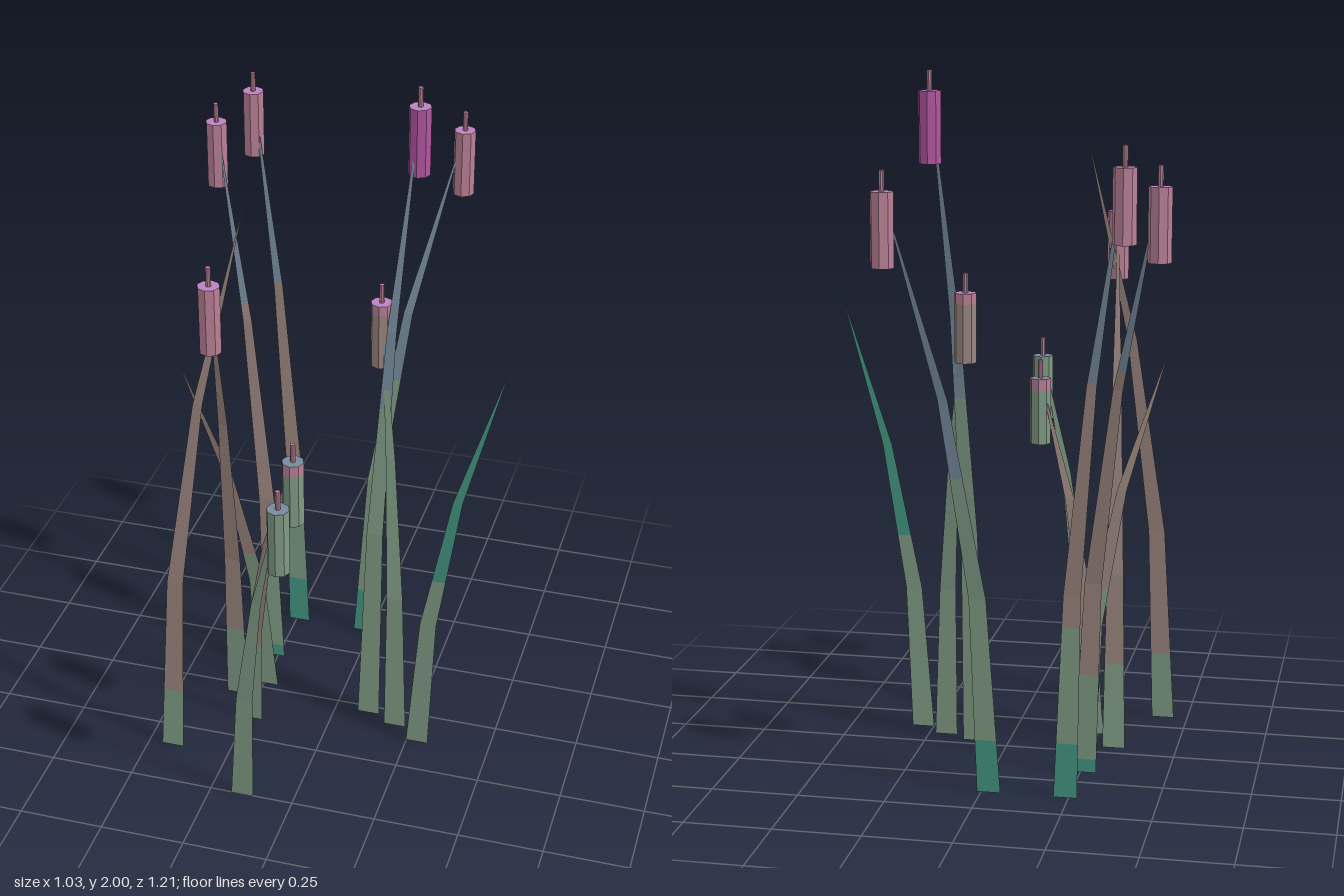
import * as THREE from 'three';

const mat = (name, color, side = THREE.FrontSide) => {
  const m = new THREE.MeshStandardMaterial({ color, side, flatShading: true });
  m.name = name;
  return m;
};

export function createModel() {
  const D = THREE.DoubleSide;
  const green = mat('reed green', 0x7f9a84, D);
  const brown = mat('dry brown', 0x99847d, D);
  const teal = mat('wet teal', 0x439581, D);
  const blue = mat('grey blue', 0x778b9d, D);
  const pink = mat('dusty pink', 0xb98096);
  const magenta = mat('magenta', 0xb0559f);
  const purple = mat('cap purple', 0xbb82c2);

  // Blade outline: three straight segments, bending as t squared, tapering to a point
  const widths = [0.067, 0.049, 0.028, 0.001];
  function section(b, t) {
    const i = Math.min(2, Math.floor(t * 3 + 1e-6));
    const f = t * 3 - i;
    const mix = (p, q) => p + (q - p) * f;
    const bend = mix((i / 3) ** 2, ((i + 1) / 3) ** 2);
    return {
      x: b.base[0] + (b.tip[0] - b.base[0]) * bend,
      y: b.height * t,
      z: b.base[1] + (b.tip[1] - b.base[1]) * bend,
      w: mix(widths[i], widths[i + 1]) / 2,
    };
  }

  // One colour band of a blade, between two heights
  function bladeBand(b, y0, y1, material) {
    const t0 = y0 / b.height, t1 = y1 / b.height;
    const ts = [t0, ...[1 / 3, 2 / 3].filter(t => t > t0 + 1e-4 && t < t1 - 1e-4), t1];
    const pos = [], idx = [];
    ts.forEach((t, i) => {
      const s = section(b, t);
      pos.push(s.x - s.w, s.y, s.z, s.x + s.w, s.y, s.z);
      if (i) {
        const k = i * 2;
        idx.push(k - 2, k - 1, k + 1, k - 2, k + 1, k);
      }
    });
    const g = new THREE.BufferGeometry();
    g.setAttribute('position', new THREE.Float32BufferAttribute(pos, 3));
    g.setIndex(idx);
    g.computeVertexNormals();
    const mesh = new THREE.Mesh(g, material);
    mesh.name = 'bladeBand';
    return mesh;
  }

  // Seed head hanging from the tip, with a thin spike; the rim is an optional band at its top
  const HEAD = 0.2, R = 0.032;
  function seedHead(b) {
    const { side, cap, rim = 0 } = b.head;
    const group = new THREE.Group();
    group.name = 'seedHead';
    const add = (name, r, y0, y1, mats) => {
      const m = new THREE.Mesh(new THREE.CylinderGeometry(r, r, y1 - y0, 8), mats);
      m.position.y = (y0 + y1) / 2;
      m.name = name;
      group.add(m);
    };
    add('headBody', R, -HEAD, -rim, [side, cap, brown]);
    if (rim) add('headRim', R, -rim, 0, [pink, cap, pink]);
    add('spike', 0.0075, 0, 0.056, pink);
    group.position.set(b.tip[0], b.height, b.tip[1]);
    return group;
  }

  // base and tip are [x, z]; bands list [material, top height]
  const pinkHead = { side: pink, cap: purple };
  const reeds = [
    { base: [-0.24, -0.375], tip: [-0.412, -0.525], height: 1.78, head: pinkHead,
      bands: [[teal, 0.16], [green, 0.5], [brown, 1.2], [blue, 1.78]] },
    { base: [-0.262, -0.17], tip: [-0.49, -0.413], height: 1.72, head: pinkHead,
      bands: [[teal, 0.04], [green, 0.3], [brown, 1.2], [blue, 1.72]] },
    { base: [-0.022, -0.375], tip: [0.218, -0.575], height: 1.71, head: pinkHead,
      bands: [[teal, 0.155], [green, 0.92], [blue, 1.71]] },
    { base: [0.104, 0.03], tip: [0.18, -0.177], height: 1.945,
      head: { side: magenta, cap: purple }, bands: [[green, 1.06], [blue, 1.945]] },
    { base: [0.198, 0.068], tip: [0.1, -0.093], height: 1.375,
      head: { side: brown, cap: purple, rim: 0.03 }, bands: [[green, 1.12], [blue, 1.375]] },
    { base: [-0.238, -0.022], tip: [-0.457, 0.076], height: 1.19,
      bands: [[green, 0.5], [brown, 1.19]] },
    { base: [-0.315, 0.045], tip: [-0.278, 0.296], height: 1.57, head: pinkHead,
      bands: [[green, 0.255], [brown, 1.57]] },
    { base: [-0.235, 0.155], tip: [-0.045, 0.304], height: 1.06,
      head: { side: green, cap: blue, rim: 0.035 }, bands: [[green, 0.285], [brown, 1.06]] },
    { base: [-0.425, 0.342], tip: [-0.2, 0.22], height: 1.78,
      bands: [[green, 0.205], [brown, 1.78]] },
    { base: [-0.152, 0.502], tip: [-0.005, 0.571], height: 1.08,
      head: { side: green, cap: blue }, bands: [[green, 1.08]] },
    { base: [0.282, 0.125], tip: [0.512, 0.107], height: 1.32,
      bands: [[green, 0.6], [teal, 1.32]] },
  ];

  const model = new THREE.Group();
  model.name = 'reedClump';
  for (const b of reeds) {
    const reed = new THREE.Group();
    reed.name = b.head ? 'reedWithHead' : 'bareReed';
    let y = 0;
    for (const [material, top] of b.bands) {
      reed.add(bladeBand(b, y, top, material));
      y = top;
    }
    if (b.head) reed.add(seedHead(b));
    model.add(reed);
  }
  return model;
}
